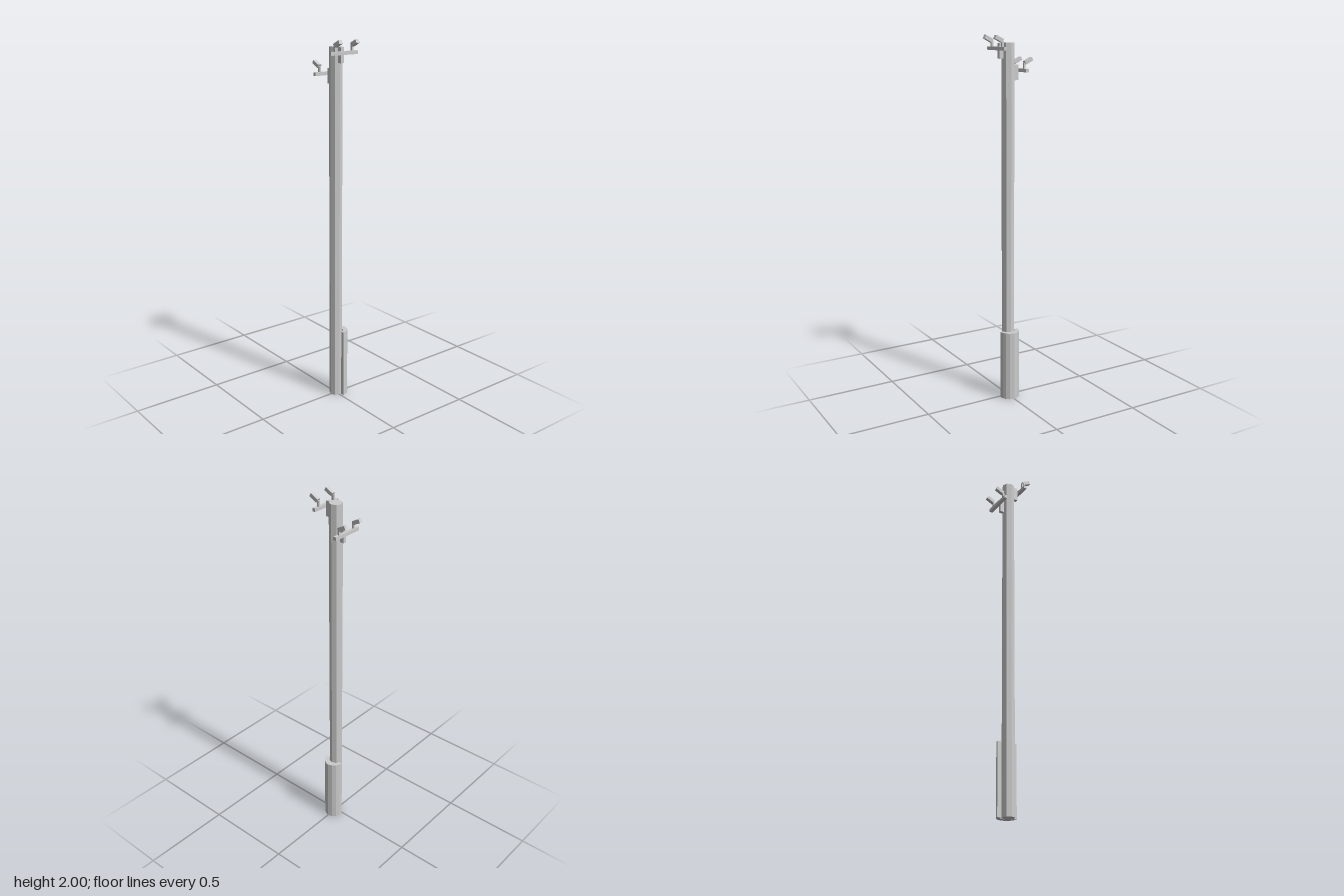
import * as THREE from 'three';

const material = new THREE.MeshStandardMaterial({ color: 0xcccccc, flatShading: true });

function add(parent, name, geometry, x = 0, y = 0, z = 0) {
  const mesh = new THREE.Mesh(geometry, material);
  mesh.name = name;
  mesh.position.set(x, y, z);
  parent.add(mesh);
  return mesh;
}

// Crossbar with two upward-tilted lamps, facing +z; y = 0 is the top of the lamps
function createLampBracket(name) {
  const bracket = new THREE.Group();
  bracket.name = name;
  add(bracket, 'mount', new THREE.BoxGeometry(0.02, 0.08, 0.023), 0, -0.081, 0.0445);
  add(bracket, 'crossbar', new THREE.BoxGeometry(0.174, 0.018, 0.018), 0, -0.069, 0.065);
  for (const side of [-1, 1]) {
    const x = side * 0.0545;
    add(bracket, 'lampPost', new THREE.BoxGeometry(0.011, 0.032, 0.011), x, -0.046, 0.064);
    const lamp = add(bracket, 'lamp', new THREE.BoxGeometry(0.021, 0.02, 0.048), x, -0.02, 0.087);
    lamp.rotation.x = -0.46;
  }
  return bracket;
}

export function createModel() {
  const model = new THREE.Group();
  model.name = 'lampPole';

  // Octagonal pole
  add(model, 'pole', new THREE.CylinderGeometry(0.035, 0.035, 1.96, 8), 0, 0.98, 0);

  // Half sleeve wrapped around one side of the foot
  const outer = [[0.012, 0.056], [0.032, 0.051], [0.05, 0.042], [0.064, 0.025], [0.072, 0]];
  const inner = [[0.04, 0], [0.031, 0.029], [0.01, 0.038]];
  const half = [...outer, ...inner.slice(1)];
  const mirror = (points) => points.map(([x, z]) => [x, -z]);
  const outline = [
    ...outer, ...mirror(outer.slice(0, -1)).reverse(),
    ...mirror(half.slice(outer.length)).reverse(), ...inner,
  ];
  const shape = new THREE.Shape(outline.map(([x, z]) => new THREE.Vector2(x, z)));
  const sleeve = new THREE.ExtrudeGeometry(shape, { depth: 0.39, bevelEnabled: false });
  sleeve.rotateX(-Math.PI / 2);
  add(model, 'baseSleeve', sleeve);

  // Upper bracket at the front, lower one at the back
  const front = createLampBracket('frontLampBracket');
  front.position.y = 2;
  const back = createLampBracket('backLampBracket');
  back.position.set(0, 1.888, -0.002);
  back.rotation.y = Math.PI;
  model.add(front, back);

  return model;
}
